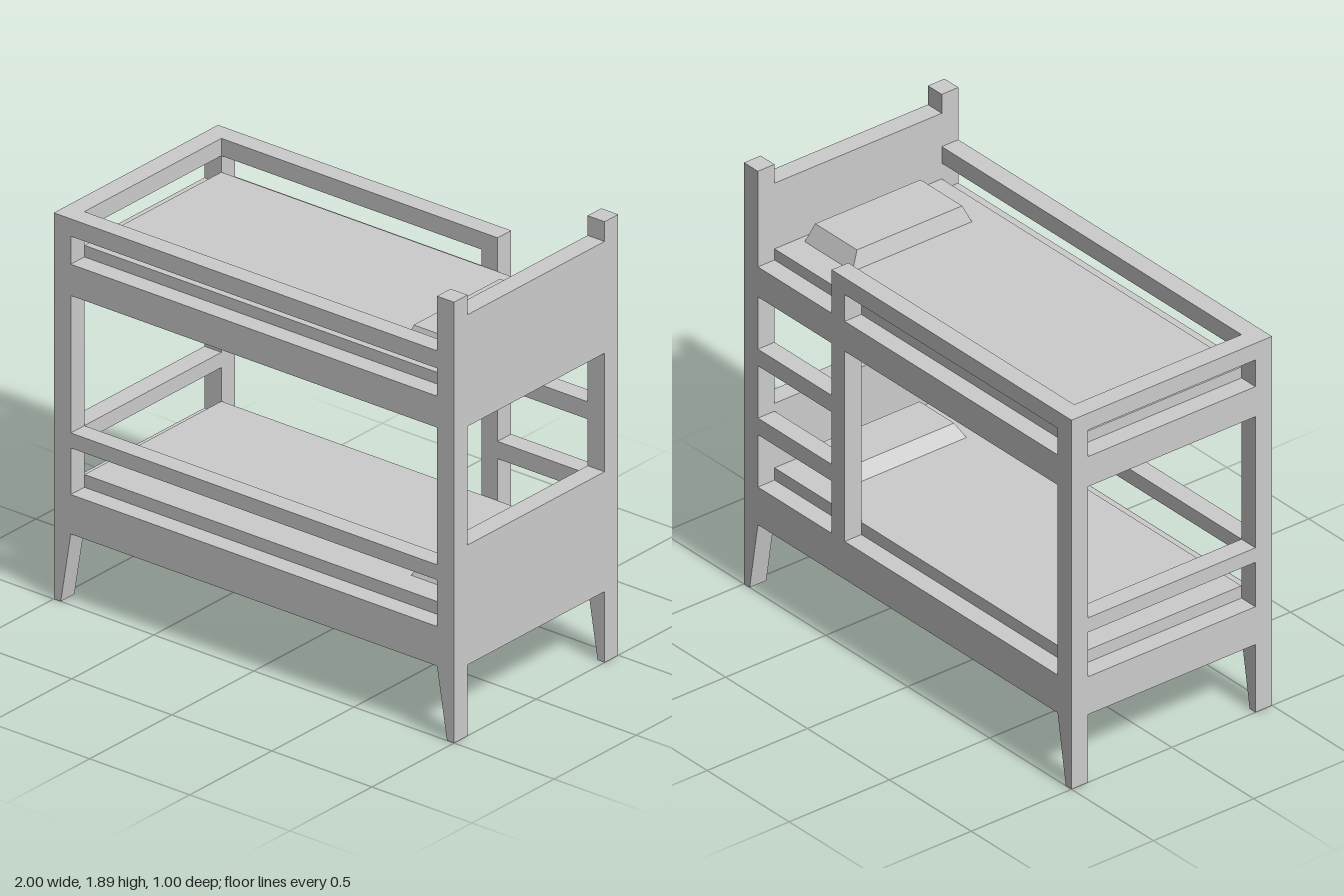
import * as THREE from 'three';

const X = 1, XI = 0.915, Z = 0.5, ZI = 0.417;   // outer and inner faces of the frame
const LEG = 0.305, FOOT = 1.66, HEAD = 1.895;   // leg, foot post and head post heights

export function createModel() {
  const model = new THREE.Group();
  const material = new THREE.MeshStandardMaterial({ color: 0xcccccc, flatShading: true });

  const add = (name, geometry, parent = model) => {
    const mesh = new THREE.Mesh(geometry, material);
    mesh.name = name;
    parent.add(mesh);
    return mesh;
  };

  // Box given by its lower and upper bounds
  const box = (name, x0, x1, y0, y1, z0, z1) =>
    add(name, new THREE.BoxGeometry(x1 - x0, y1 - y0, z1 - z0))
      .position.set((x0 + x1) / 2, (y0 + y1) / 2, (z0 + z1) / 2);

  const polygon = (pts) => pts.map(([x, y]) => new THREE.Vector2(x, y));
  const opening = ([x0, x1, y0, y1]) =>
    new THREE.Path(polygon([[x0, y0], [x0, y1], [x1, y1], [x1, y0]]));

  // Long side: posts, tapered legs and rails in one cut-out board
  const side = (name, topEdge, openings, z) => {
    const shape = new THREE.Shape(polygon([
      [-X, 0], [-0.965, 0], [-XI, LEG], [XI, LEG], [0.965, 0], [X, 0],
      [X, HEAD], [XI, HEAD], ...topEdge, [-X, FOOT],
    ]));
    shape.holes = openings.map(opening);
    const geometry = new THREE.ExtrudeGeometry(shape, { depth: Z - ZI, bevelEnabled: false });
    add(name, geometry).position.z = z;
  };

  side('frontSide', [[XI, FOOT]], [
    [-XI, XI, 0.475, 0.675],
    [-XI, XI, 0.74, 1.33],
    [-XI, XI, 1.465, 1.585],
  ], ZI);

  // Back side carries the ladder beside the head posts
  const L0 = 0.385, L1 = 0.465;
  side('backSideWithLadder', [[XI, 1.465], [L1, 1.465], [L1, FOOT]], [
    [-XI, L0, 0.475, 1.33],
    [-XI, L0, 1.465, 1.585],
    [L1, XI, 0.475, 0.71],
    [L1, XI, 0.785, 1.02],
    [L1, XI, 1.095, 1.33],
  ], -Z);

  // Head panels
  for (const [name, y0, y1] of [['lowerHeadboard', LEG, 0.82], ['upperHeadboard', 1.33, 1.81]])
    box(name, XI, X, y0, y1, -ZI, ZI);

  // Foot end rails
  for (const [name, y0, y1] of [
    ['lowerFootboard', LEG, 0.475], ['lowerFootGuard', 0.675, 0.74],
    ['upperFootboard', 1.33, 1.465], ['upperFootGuard', 1.585, FOOT],
  ]) box(name, -X, -XI, y0, y1, -ZI, ZI);

  // Mattresses with their bases
  box('lowerMattress', -XI, XI, LEG, 0.53, -ZI, ZI);
  box('upperMattress', -XI, XI, 1.33, 1.515, -ZI, ZI);

  // Pillow: a box whose top is drawn in
  const pillow = (name, base, top, y0, y1) => {
    const geometry = new THREE.BoxGeometry(1, 1, 1);
    const p = geometry.attributes.position;
    for (let i = 0; i < p.count; i++) {
      const upper = p.getY(i) > 0;
      const [x0, x1, z0, z1] = upper ? top : base;
      p.setXYZ(i, p.getX(i) < 0 ? x0 : x1, upper ? y1 : y0, p.getZ(i) < 0 ? z0 : z1);
    }
    geometry.computeVertexNormals();
    add(name, geometry);
  };
  pillow('lowerPillow', [0.62, 0.885, -0.295, 0.305], [0.66, 0.87, -0.255, 0.27], 0.525, 0.59);
  pillow('upperPillow', [0.59, 0.885, -0.295, 0.305], [0.61, 0.865, -0.255, 0.27], 1.51, 1.59);

  return model;
}
